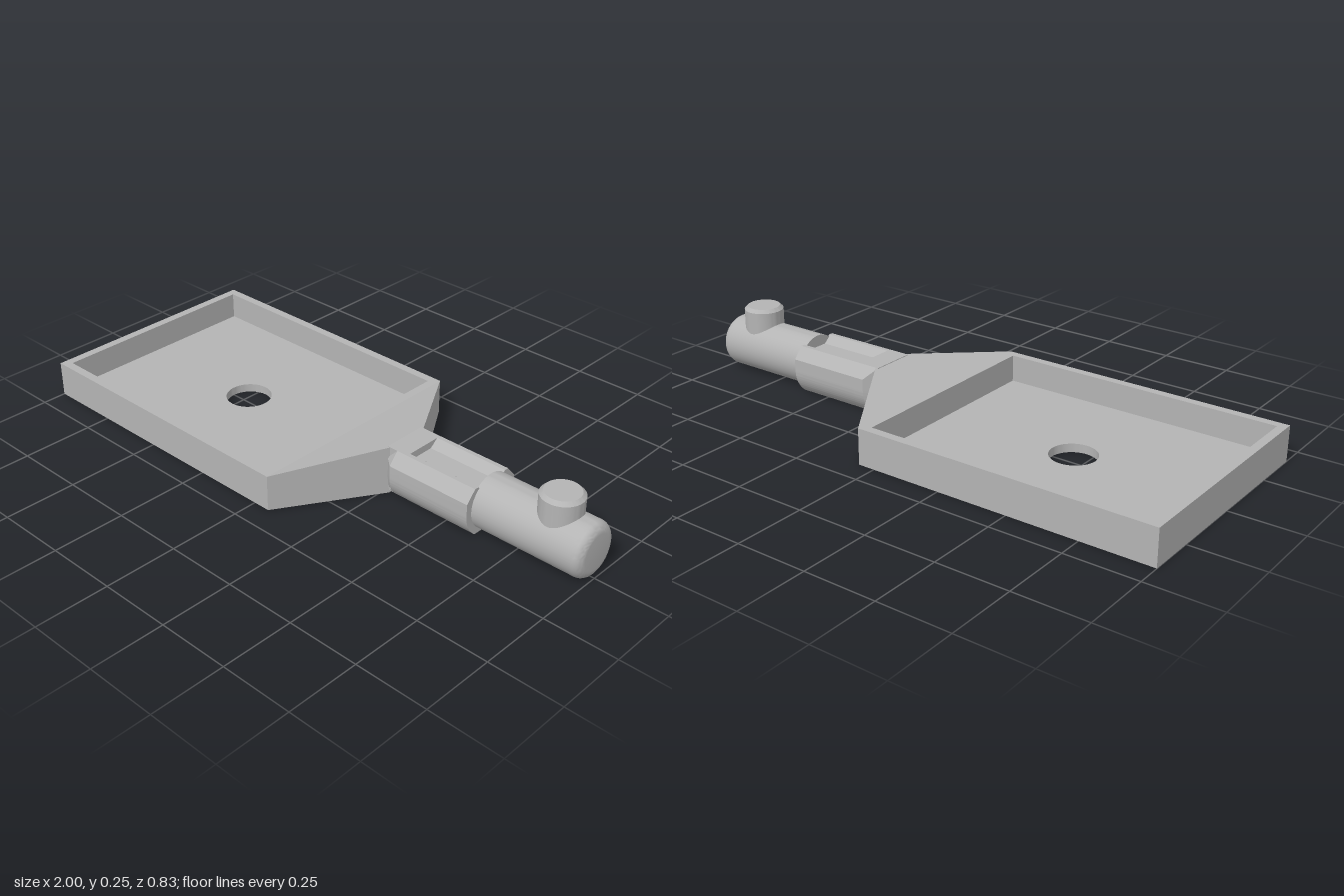
import * as THREE from 'three';
import { toCreasedNormals } from 'three/addons/utils/BufferGeometryUtils.js';

export function createModel() {
  const group = new THREE.Group();
  const grey = new THREE.MeshStandardMaterial({ color: 0xb4b4b4 });
  grey.name = 'grey';

  const add = (name, geometry) => {
    const mesh = new THREE.Mesh(toCreasedNormals(geometry, 0.5), grey);
    mesh.name = name;
    group.add(mesh);
    return mesh;
  };
  const polygon = (pts) => new THREE.Shape(pts.map(([x, y]) => new THREE.Vector2(x, y)));
  const rect = (x0, x1, w) => polygon([[x0, -w], [x1, -w], [x1, w], [x0, w]]);
  const extrude = (shape, depth) =>
    new THREE.ExtrudeGeometry(shape, { depth, bevelEnabled: false, curveSegments: 32 });
  // Plan outline raised along y
  const raise = (shape, height) => extrude(shape, height).rotateX(-Math.PI / 2);
  // Cross-section (z, y) drawn out along x
  const sweep = (shape, x0, x1) => extrude(shape, x1 - x0).rotateY(Math.PI / 2).translate(x0, 0, 0);
  const lathe = (pts) => new THREE.LatheGeometry(pts.map(([r, y]) => new THREE.Vector2(r, y)), 64);
  const reshape = (geometry, rule) => {
    const pos = geometry.attributes.position;
    const v = new THREE.Vector3();
    for (let i = 0; i < pos.count; i++) {
      rule(v.fromBufferAttribute(pos, i));
      pos.setXYZ(i, v.x, v.y, v.z);
    }
    return geometry;
  };

  // Tray: rim around a thin floor with a round hole
  const rim = rect(-1, 0.06, 0.415);
  rim.holes.push(rect(-0.97, 0.03, 0.385));
  add('trayRim', raise(rim, 0.125));
  const floor = rect(-0.97, 0.03, 0.385);
  floor.holes.push(new THREE.Path().absarc(-0.47, 0, 0.08, 0, Math.PI * 2, true));
  add('trayFloor', raise(floor, 0.03));

  // Shoulder narrowing and rising towards the handle
  const shoulder = polygon([[0.06, -0.415], [0.27, -0.08], [0.27, 0.08], [0.06, 0.415]]);
  add('shoulder', reshape(raise(shoulder, 0.125), (v) => {
    if (v.x > 0.2 && v.y > 0.1) v.y = 0.17;
  }));

  // Socket: round-bottomed section with chamfered top edges, optionally grooved
  const section = (grooved) => {
    const s = new THREE.Shape();
    s.moveTo(-0.07, 0);
    s.lineTo(0.07, 0);
    s.quadraticCurveTo(0.115, 0.035, 0.115, 0.09);
    s.lineTo(0.115, 0.13);
    s.lineTo(0.08, 0.17);
    if (grooved) {
      s.lineTo(0.065, 0.17);
      s.lineTo(0.035, 0.145);
      s.lineTo(-0.035, 0.145);
      s.lineTo(-0.065, 0.17);
    }
    s.lineTo(-0.08, 0.17);
    s.lineTo(-0.115, 0.13);
    s.lineTo(-0.115, 0.09);
    s.quadraticCurveTo(-0.115, 0.035, -0.07, 0);
    return s;
  };
  add('socketNeck', reshape(sweep(section(false), 0.26, 0.3), (v) => {
    if (v.x < 0.28) v.z = THREE.MathUtils.clamp(v.z, -0.08, 0.08);
  }));
  add('socketBase', sweep(section(false), 0.3, 0.34));
  add('socketGrooved', sweep(section(true), 0.34, 0.61));

  // Round pin with a rounded tip
  const pin = [[0, 0.605], [0.093, 0.605]];
  for (let i = 0; i <= 8; i++) {
    const a = (i / 8) * Math.PI / 2;
    pin.push([0.06 + 0.033 * Math.cos(a), 0.967 + 0.033 * Math.sin(a)]);
  }
  pin.push([0, 1]);
  add('pin', lathe(pin).rotateZ(-Math.PI / 2).translate(0, 0.093, 0));

  // Button standing on the pin
  add('button', lathe([[0, 0.12], [0.07, 0.12], [0.07, 0.235], [0.058, 0.247], [0, 0.247]]))
    .position.set(0.865, 0, 0);

  return group;
}
